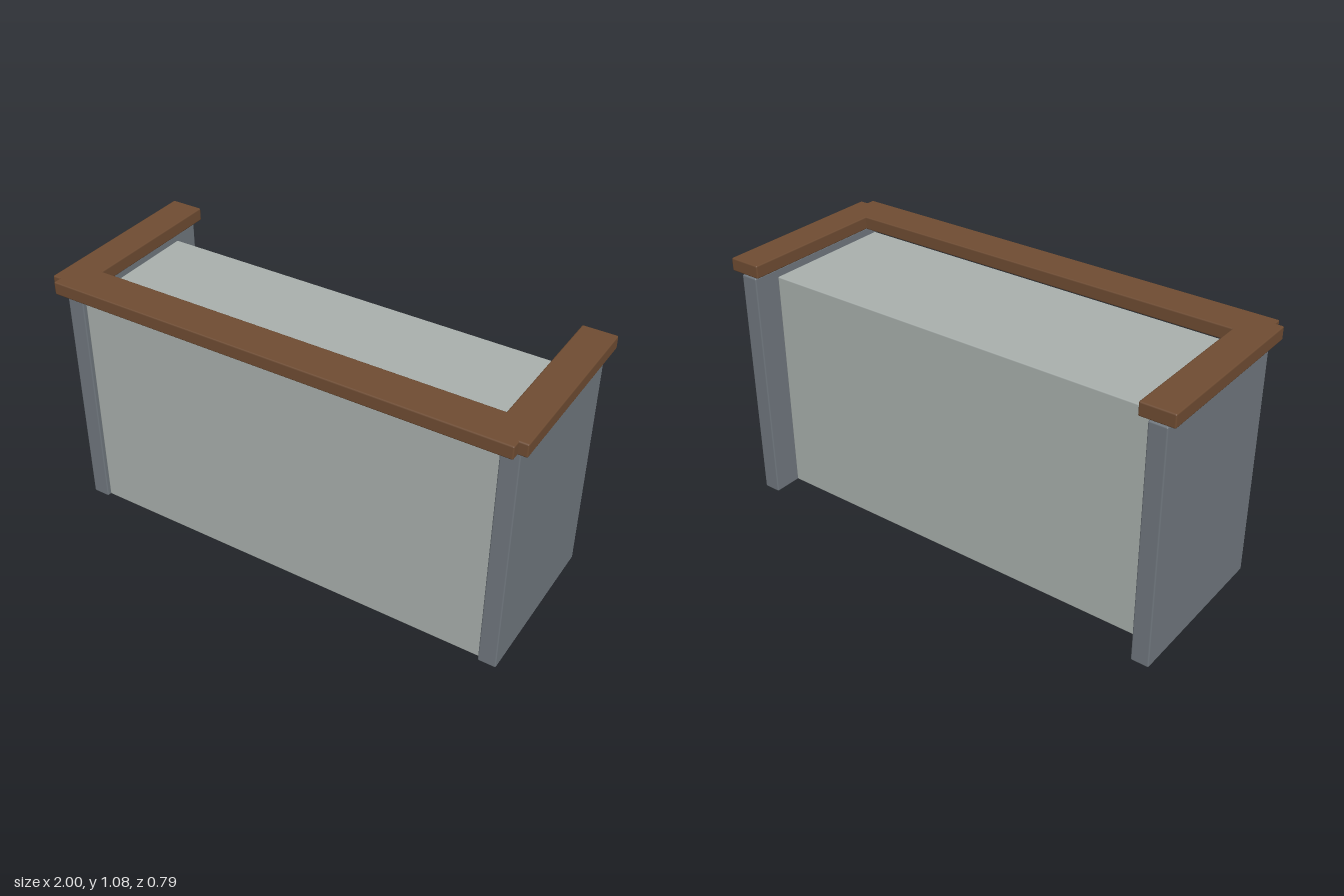
import * as THREE from 'three';
import { RoundedBoxGeometry } from 'three/addons/geometries/RoundedBoxGeometry.js';

const material = (name, color) => {
  const m = new THREE.MeshStandardMaterial({ color });
  m.name = name;
  return m;
};

// Box given by its min and max corners, with softened edges when bevel > 0
function block(name, mat, [x0, y0, z0], [x1, y1, z1], bevel = 0) {
  const size = [x1 - x0, y1 - y0, z1 - z0];
  const geometry = bevel
    ? new RoundedBoxGeometry(...size, 1, bevel)
    : new THREE.BoxGeometry(...size);
  const mesh = new THREE.Mesh(geometry, mat);
  mesh.name = name;
  mesh.position.set((x0 + x1) / 2, (y0 + y1) / 2, (z0 + z1) / 2);
  return mesh;
}

export function createModel() {
  const paleGrey = material('pale grey', 0xa9b0ad);
  const slate = material('slate grey', 0x70777e);
  const wood = material('brown wood', 0x6f4c32);
  const dark = material('dark base', 0x3a4145);

  const group = new THREE.Group();
  group.name = 'counter';

  // Main cabinet, with a dark base plate set into its underside
  group.add(block('body', paleGrey, [-0.89, 0.004, -0.265], [0.89, 0.975, 0.318], 0.005));
  group.add(block('basePlate', dark, [-0.875, 0.002, -0.245], [0.875, 0.008, 0.312]));

  // End panels and the countertop arms floating just above them
  for (const [side, s] of [['left', 1], ['right', -1]]) {
    const panel = block(side + 'EndPanel', slate, [0.89, 0, -0.382], [0.965, 1.007, 0.333], 0.006);
    const arm = block(side + 'CounterArm', wood, [0.86, 1.02, -0.397], [1, 1.075, 0.362], 0.006);
    for (const part of [panel, arm]) {
      part.position.x *= s;
      group.add(part);
    }
  }

  // Front countertop bar
  group.add(block('frontCounter', wood, [-0.965, 1.02, 0.235], [0.965, 1.075, 0.397], 0.006));

  return group;
}
